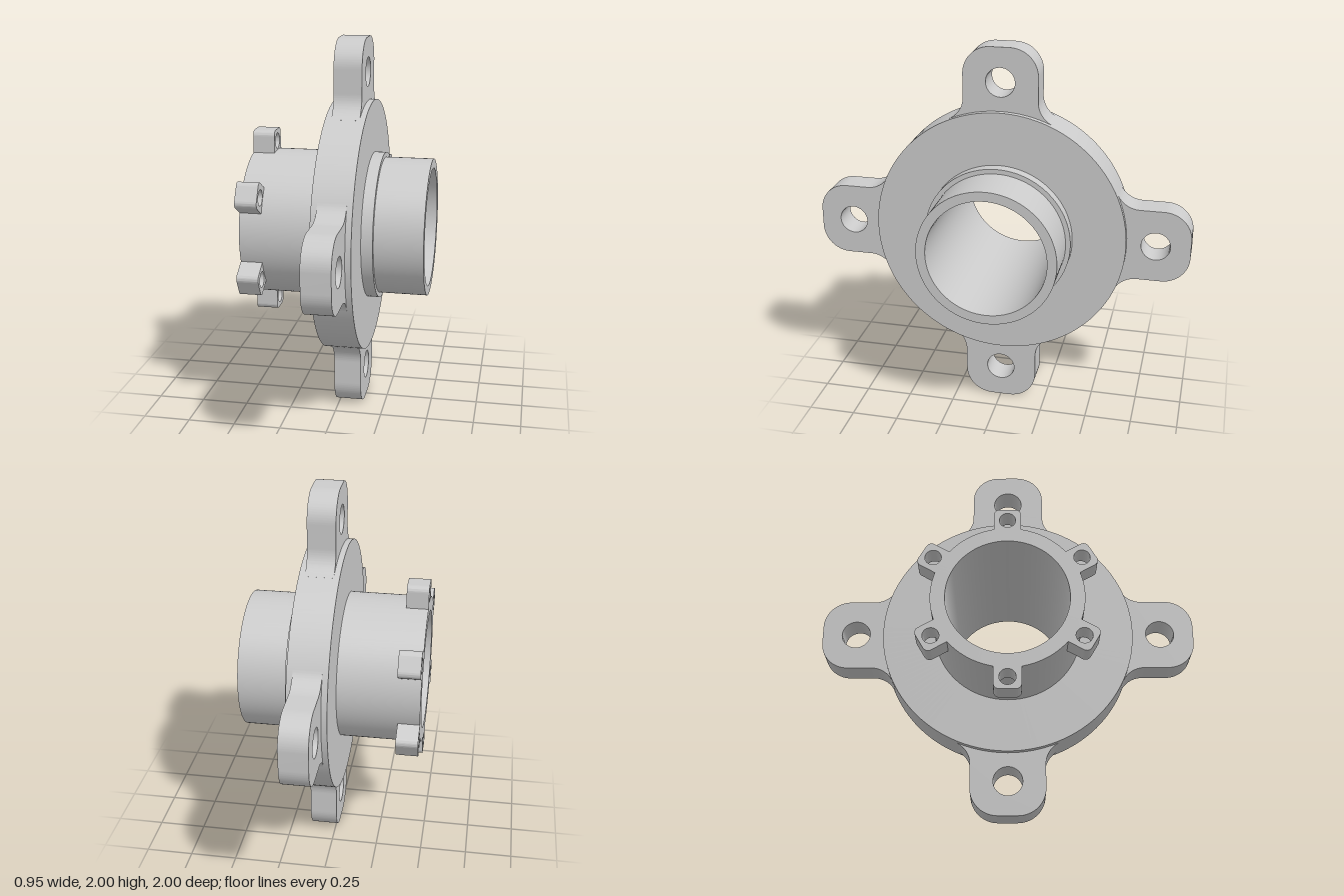
import * as THREE from 'three';
import { toCreasedNormals } from 'three/addons/utils/BufferGeometryUtils.js';

const material = new THREE.MeshStandardMaterial({ color: 0xcccccc });

function part(name, geometry) {
  const mesh = new THREE.Mesh(toCreasedNormals(geometry, 0.5), material);
  mesh.name = name;
  return mesh;
}

// Extrude a shape drawn in the radial plane so its thickness runs from x0 to x1
function plate(shape, x0, x1) {
  const g = new THREE.ExtrudeGeometry(shape, { depth: x1 - x0, bevelEnabled: false, curveSegments: 20 });
  g.translate(0, 0, x0);
  g.rotateY(Math.PI / 2);
  return g;
}

function addHole(shape, y, r) {
  const hole = new THREE.Path();
  hole.absarc(0, y, r, 0, Math.PI * 2, true);
  shape.holes.push(hole);
}

// Rounded tip from (w, ...) over the top to (-w, ...)
function roundedTip(shape, w, tip, r) {
  shape.absarc(w - r, tip - r, r, 0, Math.PI / 2, false);
  shape.absarc(r - w, tip - r, r, Math.PI / 2, Math.PI, false);
}

// Mounting ear with concave fillets tangent to the flange rim
function earShape() {
  const w = 0.195, rim = 0.67, f = 0.13;
  const cx = w + f, cy = Math.sqrt((rim + f) ** 2 - cx * cx);
  const a = Math.atan2(cy, cx);
  const s = new THREE.Shape();
  s.moveTo(-0.2, 0.5);
  s.lineTo(0.2, 0.5);
  s.absarc(cx, cy, f, a + Math.PI, Math.PI, true);
  roundedTip(s, w, 1, 0.145);
  s.absarc(-cx, cy, f, 0, -a, true);
  s.closePath();
  addHole(s, 0.82, 0.076);
  return s;
}

// Small bolt lug on the end of the barrel
function lugShape() {
  const s = new THREE.Shape();
  s.moveTo(-0.07, 0.36);
  s.lineTo(0.07, 0.36);
  roundedTip(s, 0.07, 0.502, 0.03);
  s.closePath();
  addHole(s, 0.438, 0.042);
  return s;
}

export function createModel() {
  const model = new THREE.Group();
  model.name = 'flangedHub';
  const hub = new THREE.Group();
  hub.name = 'hub';
  hub.position.y = 1;
  model.add(hub);

  // Turned body: barrel, flange, shoulder, spigot and through bore, as [radius, x]
  const profile = [
    [0.315, -0.475], [0.39, -0.475], [0.39, -0.045], [0.67, -0.045], [0.67, 0.16],
    [0.39, 0.16], [0.39, 0.22], [0.365, 0.22], [0.365, 0.475], [0.315, 0.475], [0.315, -0.475],
  ].map(([r, x]) => new THREE.Vector2(r, x));
  const body = new THREE.LatheGeometry(profile, 128);
  body.rotateZ(-Math.PI / 2);
  hub.add(part('turnedBody', body));

  // Four mounting ears
  const ear = plate(earShape(), -0.015, 0.13);
  for (let i = 0; i < 4; i++) {
    const mesh = part('mountingEar', ear);
    mesh.rotation.x = i * Math.PI / 2;
    hub.add(mesh);
  }

  // Six bolt lugs
  const lug = plate(lugShape(), -0.475, -0.36);
  for (let i = 0; i < 6; i++) {
    const mesh = part('boltLug', lug);
    mesh.rotation.x = i * Math.PI / 3;
    hub.add(mesh);
  }
  return model;
}
